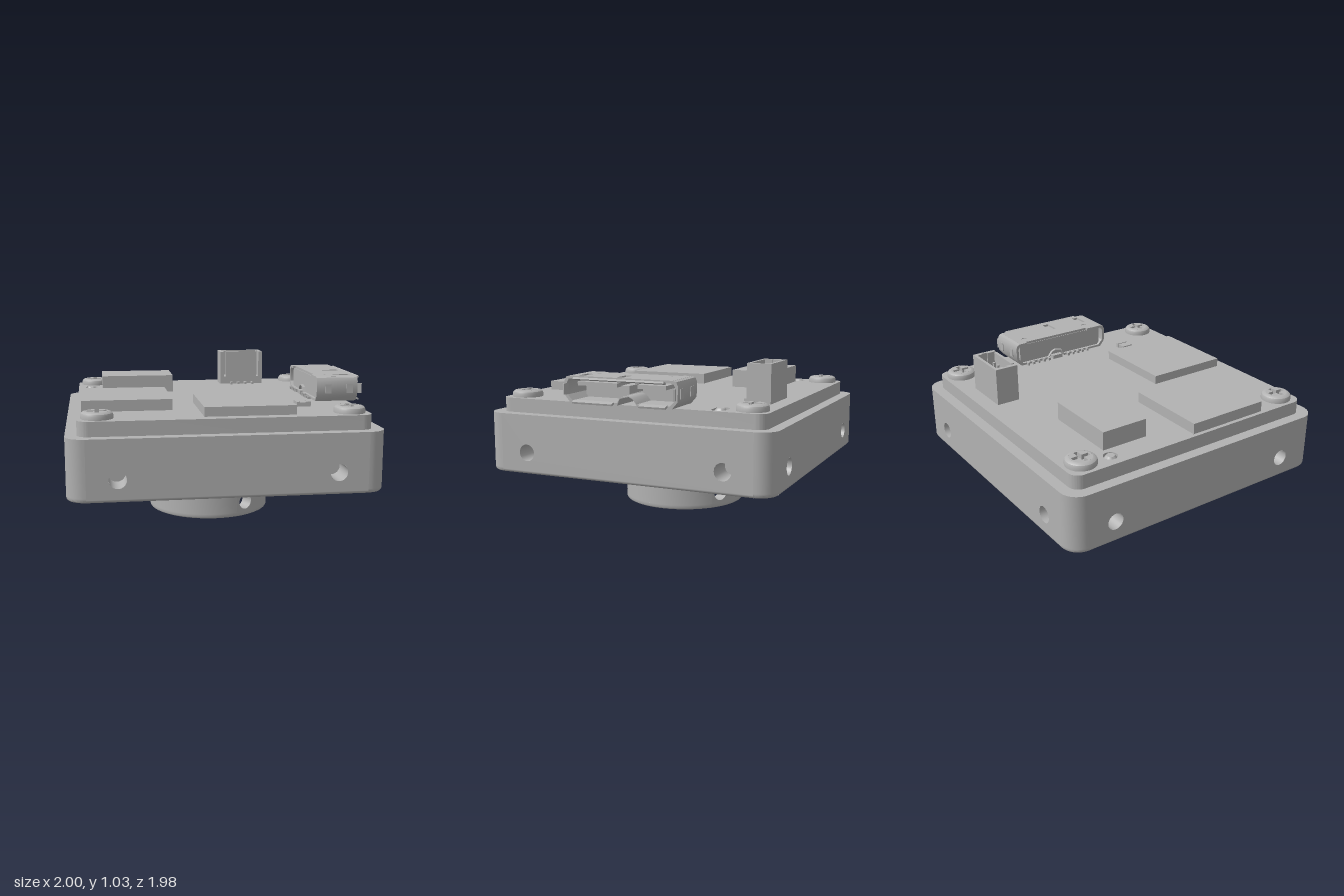
import * as THREE from 'three';
import { toCreasedNormals } from 'three/addons/utils/BufferGeometryUtils.js';

const PI = Math.PI;
const grey = new THREE.MeshStandardMaterial({ color: 0xb2b2b2, side: THREE.DoubleSide });
grey.name = 'grey';

function add(parent, name, geo, x = 0, y = 0, z = 0) {
  const m = new THREE.Mesh(geo, grey);
  m.name = name;
  m.position.set(x, y, z);
  parent.add(m);
  return m;
}
// box given by its limits
const block = (parent, name, x0, x1, y0, y1, z0, z1) =>
  add(parent, name, new THREE.BoxGeometry(x1 - x0, y1 - y0, z1 - z0), (x0 + x1) / 2, (y0 + y1) / 2, (z0 + z1) / 2);

const V = (pts) => pts.map(([x, y]) => new THREE.Vector2(x, y));
const poly = (pts) => new THREE.Shape(V(pts));
const rect = (x0, x1, y0, y1) => poly([[x0, y0], [x1, y0], [x1, y1], [x0, y1]]);
const circle = (x, y, r) => new THREE.Shape().absarc(x, y, r, 0, 2 * PI, false);
function roundRect(h, r) {
  const s = new THREE.Shape(), c = h - r;
  s.absarc(c, c, r, 0, PI / 2, false);
  s.absarc(-c, c, r, PI / 2, PI, false);
  s.absarc(-c, -c, r, PI, 1.5 * PI, false);
  s.absarc(c, -c, r, 1.5 * PI, 2 * PI, false);
  return s;
}
// extrude upwards; the shape's y becomes -z
const slab = (shape, depth) =>
  toCreasedNormals(new THREE.ExtrudeGeometry(shape, { depth, bevelEnabled: false, curveSegments: 12 }).rotateX(-PI / 2), 0.6);
const lathe = (pts, seg = 64, start = 0, len = 2 * PI) =>
  toCreasedNormals(new THREE.LatheGeometry(V(pts), seg, start, len), 0.5);

// blind round hole lining along +z, its mouth at the origin
function bore(parent, name, r, depth) {
  const g = new THREE.Group();
  g.name = name;
  add(g, 'boreWall', new THREE.CylinderGeometry(r, r, depth, 24, 1, true).rotateX(PI / 2), 0, 0, -depth / 2);
  add(g, 'boreEnd', new THREE.CircleGeometry(r, 24), 0, 0, -depth);
  parent.add(g);
  return g;
}

const H = 0.99, R = 0.12, F = 0.02, FLOOR = 0.3, TOP = 0.69, S = 0.793;
const corners = [[-S, -S], [S, -S], [-S, S], [S, S]];

function housing() {
  const g = new THREE.Group();
  g.name = 'housing';
  const c = H - R;
  for (let k = 0; k < 4; k++) {
    const side = new THREE.Group();
    side.name = 'housingSide';
    side.rotation.y = k * PI / 2;
    g.add(side);
    const wall = rect(-c, c, FLOOR + F, TOP);
    for (const x of [-0.68, 0.68]) {
      wall.holes.push(circle(x, 0.44, 0.055));
      bore(side, 'sideHole', 0.055, 0.18).position.set(x, 0.44, H);
    }
    add(side, 'wall', new THREE.ShapeGeometry(wall, 16), 0, 0, H);
    add(side, 'bottomEdge', new THREE.CylinderGeometry(F, F, 2 * c, 5, 1, true, -PI / 2, PI / 2).rotateZ(PI / 2), 0, FLOOR + F, H - F);
    add(side, 'corner', lathe([[R - F, FLOOR], [R - 0.01, FLOOR + 0.003], [R - 0.003, FLOOR + 0.01], [R, FLOOR + F], [R, FLOOR + F + 0.01], [R, TOP]], 10, 0, PI / 2), c, 0, c);
  }
  // floor with the lens opening and the four screw holes
  const floor = roundRect(H - F, R - F);
  floor.holes.push(circle(0, 0, 0.33));
  for (const [x, z] of corners) {
    floor.holes.push(circle(x, z, 0.04));
    const b = bore(g, 'bottomScrewHole', 0.04, 0.06);
    b.position.set(x, FLOOR, z);
    b.rotation.x = PI / 2;
  }
  add(g, 'floor', new THREE.ShapeGeometry(floor, 24).rotateX(PI / 2), 0, FLOOR, 0);
  add(g, 'rim', new THREE.ShapeGeometry(roundRect(H, R), 12).rotateX(-PI / 2), 0, TOP, 0);
  return g;
}

// curved wall panel of radius r with a round hole, centred on angle a
function bentPanel(r, a, half, y0, y1, yh, rh) {
  const pts = [], n = 8;
  for (let i = 0; i <= n; i++) pts.push([-half + 2 * half * i / n, y0]);
  for (let i = 0; i <= n; i++) pts.push([half - 2 * half * i / n, y1]);
  const s = poly(pts), hole = [];
  for (let i = 0; i < 24; i++) {
    const t = i / 24 * 2 * PI;
    hole.push([Math.asin(rh * Math.cos(t) / r), yh + rh * Math.sin(t)]);
  }
  s.holes.push(poly(hole));
  const geo = new THREE.ShapeGeometry(s), p = geo.attributes.position, nn = geo.attributes.normal;
  for (let i = 0; i < p.count; i++) {
    const t = a + p.getX(i), sx = Math.sin(t), cz = Math.cos(t);
    p.setXYZ(i, r * sx, p.getY(i), r * cz);
    nn.setXYZ(i, sx, 0, cz);
  }
  return geo;
}

function lensBarrel() {
  const g = new THREE.Group();
  g.name = 'lensBarrel';
  const ro = 0.42, ri = 0.33, half = PI / 18, y0 = 0.03, y1 = 0.17;
  add(g, 'barrelFoot', lathe([[ri, y0], [ri, 0.012], [ri + 0.015, 0], [ro - 0.015, 0], [ro - 0.004, 0.006], [ro, 0.015], [ro, y0]]));
  add(g, 'barrelTop', lathe([[ro, y1], [ro, 0.265], [ro + 0.005, 0.283], [ro + 0.018, FLOOR]]));
  add(g, 'barrelBore', lathe([[ri, y1], [ri, 0.62]]));
  add(g, 'barrelEnd', new THREE.CircleGeometry(ri, 48).rotateX(PI / 2), 0, 0.62, 0);
  for (let k = 0; k < 3; k++) {
    const a = PI / 6 + k * 2 * PI / 3;
    for (const r of [ro, ri]) {
      add(g, 'barrelHolePanel', bentPanel(r, a, half, y0, y1, 0.1, 0.052));
      add(g, 'barrelWall', lathe([[r, y0], [r, y1]], 20, a + half, 2 * PI / 3 - 2 * half));
    }
    const tube = new THREE.CylinderGeometry(0.052, 0.052, ro - ri, 24, 1, true).rotateX(PI / 2).translate(0, 0, (ro + ri) / 2 - 0.003);
    add(g, 'setScrewHole', tube, 0, 0.1, 0).rotation.y = a;
  }
  return g;
}

const DECK = 0.783;

function screw(x, z) {
  const g = new THREE.Group();
  g.name = 'screw';
  g.position.set(x, DECK, z);
  add(g, 'headRim', lathe([[0.1, 0], [0.1, 0.022], [0.095, 0.034], [0.085, 0.042], [0.072, 0.045]], 32));
  const w = 0.014, l = 0.06, face = circle(0, 0, 0.072);
  face.holes.push(poly([[w, w], [l, w], [l, -w], [w, -w], [w, -l], [-w, -l], [-w, -w], [-l, -w], [-l, w], [-w, w], [-w, l], [w, l]]));
  add(g, 'crossFace', slab(face, 0.035), 0, 0.01, 0);
  add(g, 'crossFloor', new THREE.CircleGeometry(0.072, 24).rotateX(-PI / 2), 0, 0.012, 0);
  return g;
}

function circuitBoard() {
  const g = new THREE.Group();
  g.name = 'circuitBoard';
  const s = roundRect(0.917, 0.07), slot = new THREE.Shape();
  slot.absarc(0.85, 0.6, 0.046, -PI / 2, PI / 2, false);
  slot.absarc(0.79, 0.6, 0.046, PI / 2, 1.5 * PI, false);
  s.holes.push(circle(-0.82, 0.6, 0.046), slot);
  add(g, 'board', slab(s, DECK - TOP), 0, TOP, 0);
  for (const x of [-0.82, 0.82])
    add(g, 'locatingPin', lathe([[0.038, TOP], [0.038, DECK - 0.01], [0.026, DECK + 0.006], [0, DECK + 0.006]], 24), x, 0, -0.6);
  for (const [x, z] of corners) g.add(screw(x, z));
  return g;
}

// open-topped pin header with side slits
function pinHeader() {
  const g = new THREE.Group();
  g.name = 'pinHeader';
  const y1 = 1.035, z0 = -0.815, z1 = -0.655;
  block(g, 'headerBase', 0.18, 0.515, DECK, 0.84, z0, z1);
  block(g, 'headerBack', 0.18, 0.515, 0.84, y1, z0, z0 + 0.02);
  block(g, 'headerFront', 0.225, 0.47, 0.84, y1, z1 - 0.02, z1);
  for (const [a, b, c, d] of [[0.18, 0.21, 0.18, 0.2], [0.485, 0.515, 0.495, 0.515]]) {
    block(g, 'headerSide', a, b, 0.84, y1, z0 + 0.02, -0.76);
    block(g, 'headerSideThin', c, d, 0.84, y1, -0.76, -0.72);
    block(g, 'headerSide', a, b, 0.84, y1, -0.72, z1);
  }
  for (let i = 0; i < 4; i++) {
    const x = 0.265 + i * 0.055;
    for (const z of [-0.765, -0.7]) block(g, 'contact', x - 0.008, x + 0.008, 0.84, 0.98, z - 0.008, z + 0.008);
    block(g, 'solderTail', x - 0.008, x + 0.008, DECK, 0.8, z1, -0.612);
  }
  return g;
}

// wide two-bay socket opening towards +x
function socket() {
  const g = new THREE.Group();
  g.name = 'socket';
  const x0 = 0.68, x1 = 0.965;
  const outer = [[-0.355, 0.957], [-0.378, 0.95], [-0.39, 0.925], [-0.387, 0.83], [-0.35, 0.787], [-0.02, 0.787], [0.0, 0.83], [0.06, 0.845],
    [0.09, 0.83], [0.12, 0.787], [0.35, 0.787], [0.387, 0.83], [0.39, 0.925], [0.378, 0.95], [0.355, 0.957]];
  const inner = outer.map(([u, v]) => [u * 0.955, 0.872 + (v - 0.872) * 0.82]).reverse();
  const shell = new THREE.ExtrudeGeometry(poly([...outer, ...inner]), { depth: x1 - x0, bevelEnabled: false }).rotateY(PI / 2);
  add(g, 'shell', toCreasedNormals(shell, 0.7), x0, 0, 0);
  // roof with latch windows and rear cut-out
  const roof = poly([[x0, -0.357], [x1, -0.357], [x1, 0.357], [x0, 0.357], [x0, 0.3], [x0 + 0.02, 0.3], [x0 + 0.02, -0.23], [x0, -0.23]]);
  for (const z of [0.01, 0.28]) {
    roof.holes.push(rect(0.82, 0.935, -z - 0.024, -z + 0.024));
    block(g, 'latchTab', 0.825, 0.915, 0.938, 0.95, z - 0.015, z + 0.015);
  }
  for (const z of [-0.275, 0.255]) roof.holes.push(poly([[0.765, -z - 0.025], [0.785, -z], [0.765, -z + 0.025]]));
  add(g, 'roof', slab(roof, 0.017), 0, 0.94, 0);
  // insulator and tongues
  block(g, 'insulator', 0.7, 0.77, 0.8, 0.938, -0.35, 0.35);
  block(g, 'wideTongue', 0.76, 0.94, 0.895, 0.92, 0.03, 0.31);
  block(g, 'narrowTongue', 0.76, 0.94, 0.895, 0.92, -0.3, -0.11);
  block(g, 'centreRib', 0.76, 0.95, 0.86, 0.91, -0.06, -0.005);
  // flared lips round the mouth
  const lips = [[0.942, 0, 0.012, 0.62, 0.3], [0.797, 0.18, 0.012, 0.28, -0.3], [0.797, -0.23, 0.012, 0.18, -0.3],
    [0.875, 0.374, 0.07, 0.012, 0], [0.875, -0.374, 0.07, 0.012, 0]];
  for (const [y, z, h, d, tilt] of lips) {
    const lip = add(g, 'lip', new THREE.BoxGeometry(0.036, h, d), 0.98, y, z);
    lip.rotation.z = tilt;
    if (!tilt) lip.rotation.y = -Math.sign(z) * 0.3;
  }
  for (const s of [-1, 1]) for (const x of [0.76, 0.91])
    block(g, 'sideLatch', x - 0.022, x + 0.022, 0.845, 0.905, s * 0.389 - 0.004, s * 0.389 + 0.004);
  for (let i = 0; i < 5; i++) {
    for (const z of [-0.3 + i * 0.045, 0.05 + i * 0.043])
      block(g, 'solderTail', 0.66, 0.71, DECK, 0.802, z - 0.008, z + 0.008);
  }
  block(g, 'rearTab', 0.665, 0.71, DECK, 0.81, -0.085, -0.005);
  return g;
}

export function createModel() {
  const model = new THREE.Group();
  model.name = 'cameraModule';
  const body = new THREE.Group();
  body.name = 'body';
  body.position.x = -0.01;
  body.add(housing(), lensBarrel(), circuitBoard());
  model.add(body, pinHeader(), socket());
  // chips
  block(model, 'tallChip', -0.75, -0.235, DECK, 0.905, -0.598, -0.277);
  block(model, 'leftChip', -0.9, -0.32, DECK, 0.855, -0.015, 0.562);
  block(model, 'frontChip', -0.15, 0.432, DECK, 0.843, 0.263, 0.84);
  // small two-ended component
  block(model, 'capacitorBody', 0.527, 0.578, DECK, 0.81, 0.457, 0.533);
  for (const x of [0.505, 0.578]) block(model, 'capacitorEnd', x, x + 0.022, DECK, 0.815, 0.453, 0.537);
  return model;
}
